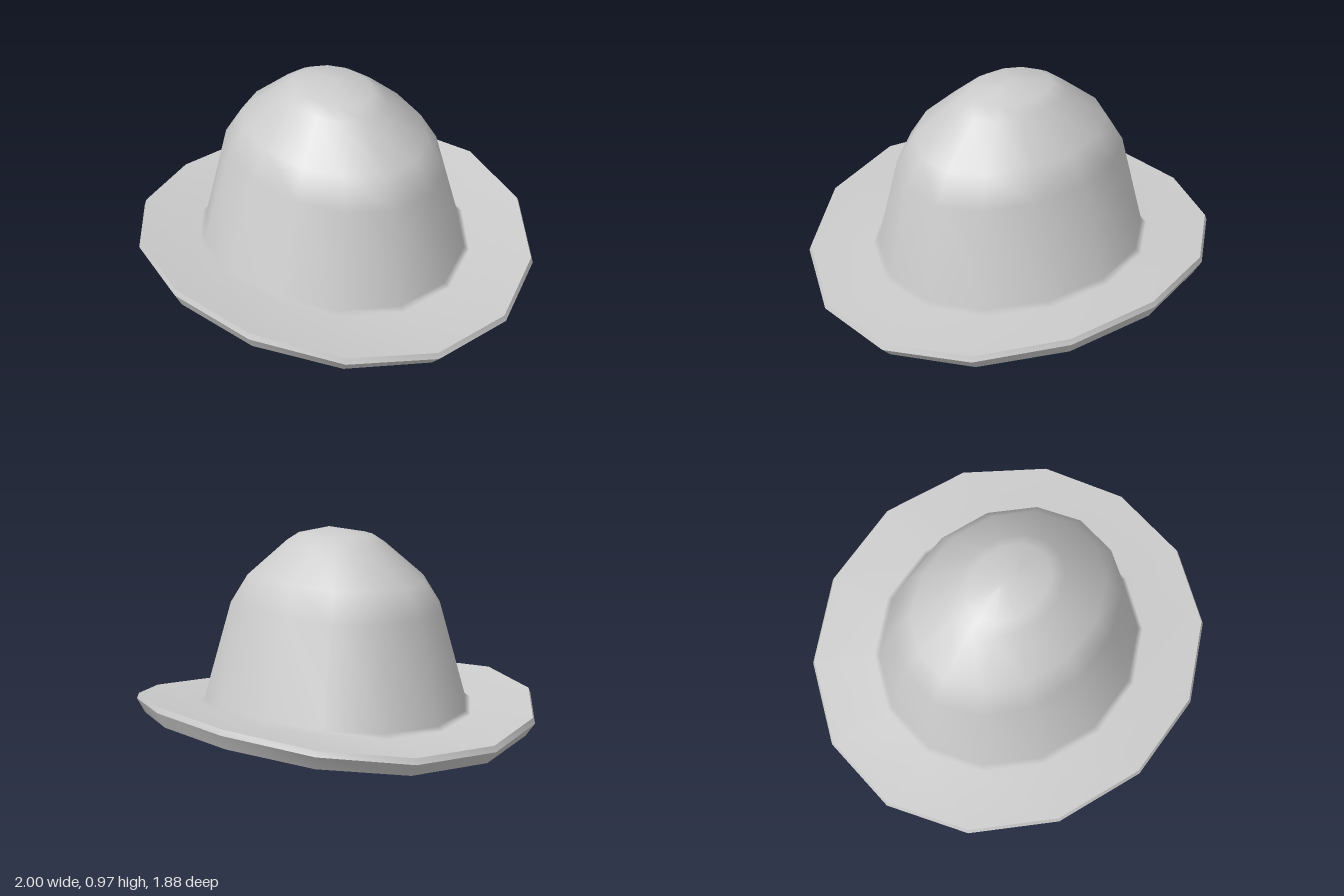
import * as THREE from 'three';
import { mergeVertices } from 'three/addons/utils/BufferGeometryUtils.js';

const SIDES = 14;
const BEND = 0.115; // the whole hat droops towards its left and right sides

// Smooth shell through elliptical rings [radiusX, radiusZ, y], listed from top to bottom.
// A ring with radiusZ = 0 closes the shell along a straight line.
function shell(name, rings) {
  const pos = [], index = [];
  for (const [rx, rz, y] of rings) {
    for (let i = 0; i < SIDES; i++) {
      const a = (i / SIDES) * Math.PI * 2;
      const x = rx * Math.sin(a);
      pos.push(x, y - BEND * x * x, rz * Math.cos(a));
    }
  }
  for (let j = 0; j < rings.length - 1; j++) {
    for (let i = 0; i < SIDES; i++) {
      const k = (i + 1) % SIDES;
      const a = j * SIDES + i, b = a + SIDES;
      const d = j * SIDES + k, c = d + SIDES;
      index.push(a, b, c, a, c, d);
    }
  }
  let geo = new THREE.BufferGeometry();
  geo.setAttribute('position', new THREE.Float32BufferAttribute(pos, 3));
  geo.setIndex(index);
  geo = mergeVertices(geo, 1e-4);
  geo.computeVertexNormals();
  const mesh = new THREE.Mesh(geo, new THREE.MeshStandardMaterial({ color: 0xcccccc }));
  mesh.name = name;
  return mesh;
}

export function createModel() {
  const hat = new THREE.Group();
  hat.name = 'hat';

  const rimTop = [1.015, 0.93, 0.2];
  const rimOuter = [1.025, 0.94, 0.175];
  const rimBottom = [0.972, 0.905, 0.104];

  // Domed crown flowing into the upturned brim
  hat.add(shell('crownAndBrim', [
    [0.06, 0, 0.971],
    [0.215, 0.165, 0.942],
    [0.287, 0.22, 0.905],
    [0.497, 0.4, 0.75],
    [0.585, 0.48, 0.62],
    [0.677, 0.62, 0.165],
    [0.7, 0.65, 0.148],
    rimTop,
  ]));

  // Narrow lip and the inward-slanting edge below it
  hat.add(shell('brimLip', [rimTop, rimOuter]));
  hat.add(shell('brimEdge', [rimOuter, rimBottom]));

  // Closed underside, curved from side to side
  hat.add(shell('underside', [rimBottom, [rimBottom[0], 0, rimBottom[2]]]));

  return hat;
}
